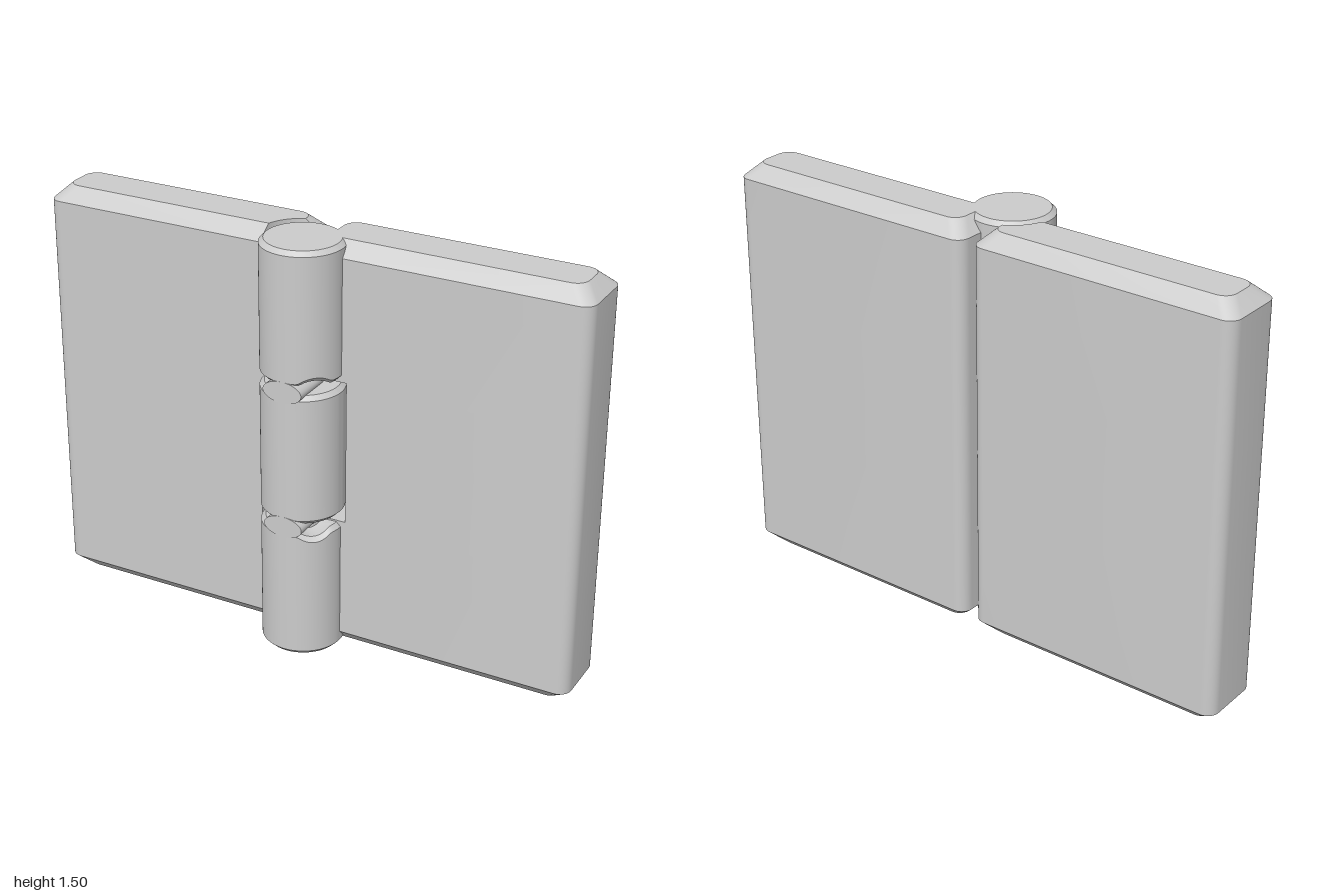
import * as THREE from 'three';
import { toCreasedNormals } from 'three/addons/utils/BufferGeometryUtils.js';

const H = 1.505, AXIS_Z = 0.05, R = 0.145, CLEAR = 0.163;
const material = new THREE.MeshStandardMaterial({ color: 0xcccccc });

function addMesh(parent, geometry, name) {
  const mesh = new THREE.Mesh(geometry, material);
  mesh.name = name;
  parent.add(mesh);
  return mesh;
}

// Horizontal section of a leaf on the +x side, as [x, z] points.
// inset shrinks it for the end chamfers; cut hollows it around the barrel.
function leafSection(inset, cut) {
  const x0 = 0.02 + inset, x1 = 1 - inset, z0 = -0.2 + inset, z1 = AXIS_Z - inset;
  const r = 0.045, steps = 8, pts = [];
  const corner = (cx, cz, from) => {
    for (let i = 0; i <= steps; i++) {
      const a = from + (i / steps) * Math.PI / 2;
      pts.push([cx + r * Math.cos(a), cz - r * Math.sin(a)]);
    }
  };
  corner(x1 - r, z1 - r, -Math.PI / 2);
  corner(x1 - r, z0 + r, 0);
  corner(x0 + r, z0 + r, Math.PI / 2);

  // Inner front corner: a concave arc, or a plain square corner
  const endX = Math.sqrt(CLEAR ** 2 - inset ** 2);
  const startZ = AXIS_Z - Math.sqrt(CLEAR ** 2 - x0 ** 2);
  const a0 = Math.atan2(AXIS_Z - startZ, x0), a1 = Math.atan2(inset, endX);
  const n = 20;
  for (let i = 0; i <= n; i++) {
    const t = i / n, a = a0 + (a1 - a0) * t;
    if (cut) pts.push([CLEAR * Math.cos(a), AXIS_Z - CLEAR * Math.sin(a)]);
    else if (t <= 0.5) pts.push([x0, startZ + (z1 - startZ) * t * 2]);
    else pts.push([x0 + (endX - x0) * (t * 2 - 1), z1]);
  }
  return pts;
}

// Skins the levels [y, inset, cut] from bottom to top and caps both ends
function leafGeometry(levels, side) {
  const loops = levels.map(([, inset, cut]) => leafSection(inset, cut));
  const n = loops[0].length, pos = [], index = [];
  loops.forEach((loop, k) => loop.forEach(([x, z]) => pos.push(x * side, levels[k][0], z)));
  const tri = (a, b, c) => (side > 0 ? index.push(a, b, c) : index.push(a, c, b));
  for (let k = 0; k < loops.length - 1; k++) {
    for (let i = 0; i < n; i++) {
      const a = k * n + i, b = k * n + (i + 1) % n;
      tri(a, b, b + n);
      tri(a, b + n, a + n);
    }
  }
  const cap = (k, up) => {
    const contour = loops[k].map(([x, z]) => new THREE.Vector2(x, -z));
    for (const [a, b, c] of THREE.ShapeUtils.triangulateShape(contour, [])) {
      if (up) tri(k * n + a, k * n + b, k * n + c);
      else tri(k * n + a, k * n + c, k * n + b);
    }
  };
  cap(0, false);
  cap(loops.length - 1, true);
  const geo = new THREE.BufferGeometry();
  geo.setAttribute('position', new THREE.Float32BufferAttribute(pos, 3));
  geo.setIndex(index);
  return toCreasedNormals(geo, 0.5);
}

// Chamfered barrel section; dimples are pressed into the ends listed
function knuckleGeometry(y0, y1, dimples) {
  const c = 0.016, radii = [0, 0.04, 0.08, 0.11, R - c];
  const profile = [
    ...radii.map((r) => [r, y0]), [R, y0 + c],
    [R, y1 - c], ...radii.map((r) => [r, y1]).reverse(),
  ].map(([r, y]) => new THREE.Vector2(r, y));
  const geo = new THREE.LatheGeometry(profile, 96);
  const p = geo.attributes.position, dir = Math.SQRT1_2;
  for (let i = 0; i < p.count; i++) {
    const x = p.getX(i), y = p.getY(i), z = p.getZ(i);
    const along = (x + z) * dir, across = (x - z) * dir;
    const depth = 0.022 * Math.max(0, 1 - (across / 0.06) ** 2)
      * Math.min(1, Math.max(0, along / 0.06));
    if (dimples === 'top' && y > y1 - 0.02) p.setY(i, y - depth);
    if (dimples === 'bottom' && y < y0 + 0.02) p.setY(i, y + depth);
  }
  return toCreasedNormals(geo, 0.5);
}

export function createModel() {
  const hinge = new THREE.Group();
  hinge.name = 'hinge';

  // Leaves: each is hollowed where the other leaf's knuckles turn
  const ch = 0.05;
  addMesh(hinge, leafGeometry([
    [0, ch, false], [ch, 0, false],
    [0.493, 0, false], [0.493, 0, true], [1.017, 0, true], [1.017, 0, false],
    [H - ch, 0, false], [H, ch, false],
  ], 1), 'leftLeaf');
  addMesh(hinge, leafGeometry([
    [0, ch, true], [ch, 0, true],
    [0.508, 0, true], [0.508, 0, false], [1.0, 0, false], [1.0, 0, true],
    [H - ch, 0, true], [H, ch, true],
  ], -1), 'rightLeaf');

  // Barrel
  const barrel = new THREE.Group();
  barrel.name = 'barrel';
  barrel.position.z = AXIS_Z;
  hinge.add(barrel);
  addMesh(barrel, knuckleGeometry(0, 0.487, 'top'), 'lowerKnuckle');
  addMesh(barrel, knuckleGeometry(0.518, 0.998, 'none'), 'middleKnuckle');
  addMesh(barrel, knuckleGeometry(1.027, H, 'bottom'), 'upperKnuckle');

  // Pivot pins and oval detent bumps in the gaps
  for (const y of [0.503, 1.007]) {
    const pin = addMesh(barrel, new THREE.CylinderGeometry(0.07, 0.07, 0.1, 48), 'pivotPin');
    pin.position.y = y;
    const bump = addMesh(barrel, new THREE.CylinderGeometry(0.072, 0.072, R, 48), 'detentBump');
    bump.rotation.x = Math.PI / 2;
    bump.scale.z = 0.53;
    bump.position.set(0, y, R / 2);
  }
  return hinge;
}
